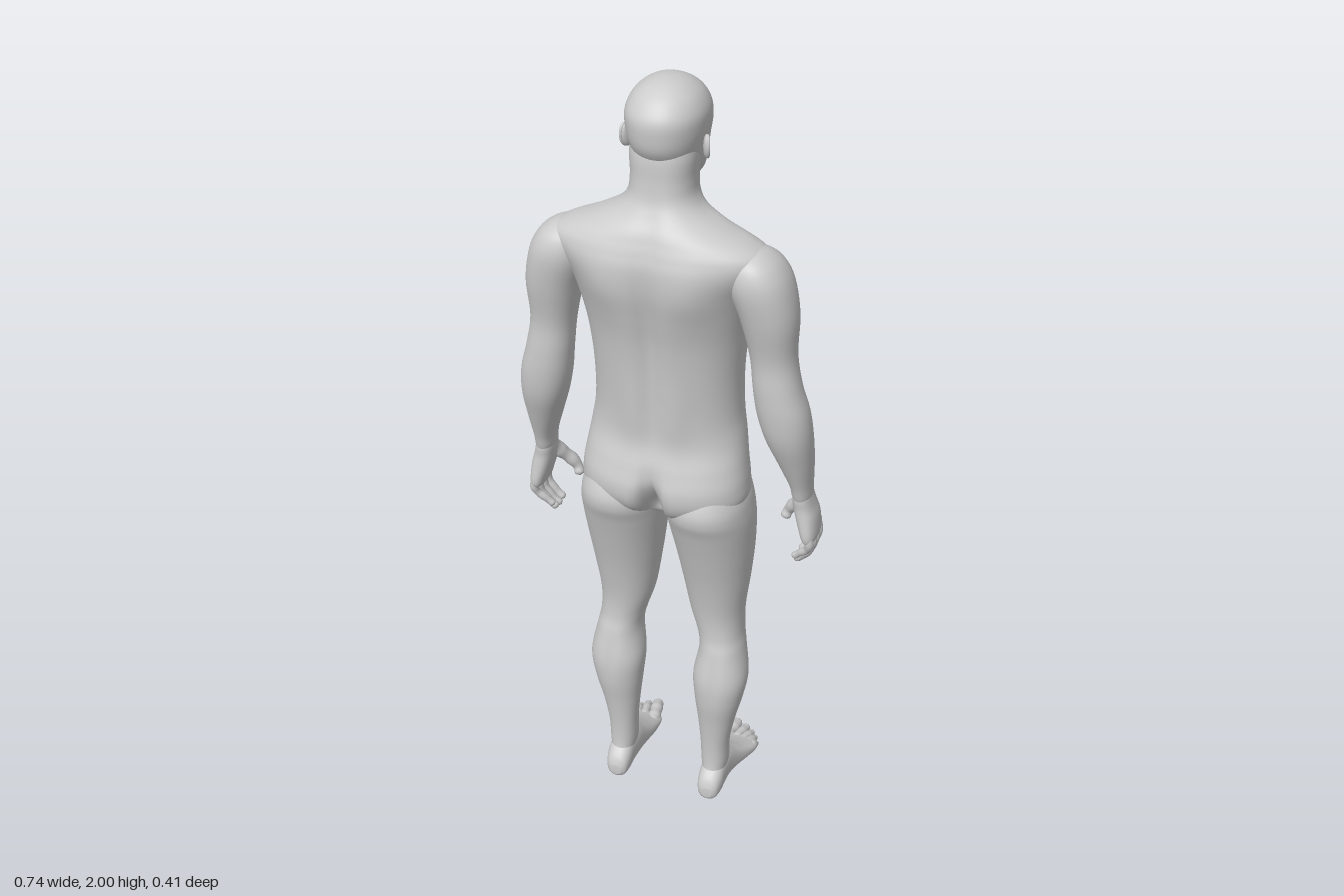
import * as THREE from 'three';
import { mergeVertices } from 'three/addons/utils/BufferGeometryUtils.js';

const material = new THREE.MeshStandardMaterial({ color: 0xcccccc, roughness: 0.8 });

// Catmull-Rom blend of a table of rows at t in 0..1
function sample(rows, t) {
  const f = t * (rows.length - 1), i = Math.min(Math.floor(f), rows.length - 2), u = f - i;
  const row = k => rows[Math.max(0, Math.min(rows.length - 1, k))];
  return rows[0].map((_, c) => {
    const [a, b, d, e] = [row(i - 1)[c], row(i)[c], row(i + 1)[c], row(i + 2)[c]];
    return b + 0.5 * u * (d - a + u * (2 * a - 5 * b + 4 * d - e + u * (3 * (b - d) + e - a)));
  });
}

// Skin through sections [height, xMin, xMax, depthMin, depthMax].
// alongZ lays the sections along z; bumps are [x, y, z, sizeX, sizeY, pushZ].
function loft(rows, { n = 40, steps = 60, power = 2.2, alongZ = false, bumps = [] } = {}) {
  const pos = [], idx = [];
  const round = v => Math.sign(v) * Math.abs(v) ** (2 / power);
  const put = (h, x, d) => {
    const [y, z] = alongZ ? [d, h] : [h, d];
    let push = 0;
    for (const [bx, by, bz, sx, sy, dz] of bumps) {
      push += dz * Math.exp(-(((Math.abs(x) - bx) / sx) ** 2) - ((y - by) / sy) ** 2 - ((z - bz) / 0.06) ** 2);
    }
    pos.push(x, y, z + push);
  };
  for (let i = 0; i <= steps; i++) {
    const [h, x0, x1, d0, d1] = sample(rows, i / steps);
    for (let j = 0; j < n; j++) {
      const a = (j / n) * Math.PI * 2;
      put(h, (x0 + x1) / 2 + (x1 - x0) / 2 * round(Math.cos(a)), (d0 + d1) / 2 + (d1 - d0) / 2 * round(Math.sin(a)));
      const k = (j + 1) % n, p = i * n;
      if (i < steps) idx.push(p + j, p + n + j, p + k, p + k, p + n + j, p + n + k);
    }
  }
  for (const [row, base, flip] of [[rows[0], 0, false], [rows.at(-1), steps * n, true]]) {
    const c = pos.length / 3;
    put(row[0], (row[1] + row[2]) / 2, (row[3] + row[4]) / 2);
    for (let j = 0; j < n; j++) {
      const a = base + j, b = base + (j + 1) % n;
      idx.push(c, ...(flip ? [b, a] : [a, b]));
    }
  }
  const g = new THREE.BufferGeometry();
  g.setAttribute('position', new THREE.Float32BufferAttribute(pos, 3));
  g.setIndex(idx);
  return orient(g);
}

// Turn all faces of a closed surface outward, using the sign of its volume
function orient(g) {
  const p = g.attributes.position, ix = g.index.array;
  const v = [0, 1, 2].map(() => new THREE.Vector3());
  const centre = new THREE.Vector3().fromBufferAttribute(p, 0);
  let volume = 0;
  for (let i = 0; i < ix.length; i += 3) {
    v.forEach((q, k) => q.fromBufferAttribute(p, ix[i + k]).sub(centre));
    volume += v[0].dot(v[1].clone().cross(v[2]));
  }
  if (volume < 0) for (let i = 0; i < ix.length; i += 3) [ix[i], ix[i + 1]] = [ix[i + 1], ix[i]];
  g.computeVertexNormals();
  return g;
}

// Finger or toe along a path, rounded shut at both ends
function digit(points, r, tip = 0.75) {
  const curve = new THREE.CatmullRomCurve3(points.map(p => new THREE.Vector3(...p)));
  const seg = 28, rad = 12, g = new THREE.TubeGeometry(curve, seg, r, rad);
  const p = g.attributes.position, v = new THREE.Vector3(), len = curve.getLength();
  for (let i = 0; i <= seg; i++) {
    const t = i / seg, c = curve.getPointAt(t);
    const e = Math.max(0, 1 - Math.min(t, 1 - t) * len / (r * tip));
    const s = (1 + (tip - 1) * t + 0.05 * Math.cos(t * 19)) * Math.sqrt(1 - e * e);
    for (let j = 0; j <= rad; j++) {
      const k = i * (rad + 1) + j;
      v.fromBufferAttribute(p, k).sub(c).multiplyScalar(s).add(c);
      p.setXYZ(k, v.x, v.y, v.z);
    }
  }
  g.deleteAttribute('uv');
  g.deleteAttribute('normal');
  return orient(mergeVertices(g, 1e-5));
}

const centred = rows => rows.map(([y, w, f, b]) => [y, -w, w, f, b]);

export function createModel() {
  const model = new THREE.Group();
  model.name = 'figure';
  const add = (name, g) => {
    const m = new THREE.Mesh(g, material);
    m.name = name;
    model.add(m);
  };
  // The figure faces -z, so its own right is +x
  const pair = (name, g) => {
    add('right' + name, g);
    add('left' + name, orient(g.clone().scale(-1, 1, 1)));
  };

  // Torso with buttocks, shoulders and neck
  add('torso', loft(centred([
    [0.885, 0.03, -0.045, 0.04], [0.91, 0.1, -0.066, 0.1], [0.94, 0.178, -0.08, 0.15], [0.975, 0.203, -0.087, 0.174],
    [1.02, 0.203, -0.087, 0.179], [1.07, 0.196, -0.086, 0.165], [1.13, 0.187, -0.091, 0.145], [1.2, 0.177, -0.1, 0.145],
    [1.3, 0.176, -0.104, 0.155], [1.4, 0.185, -0.112, 0.168], [1.48, 0.198, -0.104, 0.183], [1.55, 0.216, -0.08, 0.195],
    [1.61, 0.245, -0.043, 0.198], [1.645, 0.247, -0.016, 0.191], [1.67, 0.212, 0, 0.182], [1.692, 0.158, 0.002, 0.172],
    [1.72, 0.102, -0.004, 0.153], [1.75, 0.078, -0.014, 0.138], [1.79, 0.073, -0.022, 0.131], [1.84, 0.075, -0.02, 0.128],
    [1.88, 0.07, -0.01, 0.12]]), {
    n: 88, steps: 140, power: 2.3, bumps: [
      [0.085, 1.46, -0.1, 0.075, 0.075, -0.012], [0, 1.47, -0.11, 0.015, 0.09, 0.008],     // chest
      [0.05, 1.28, -0.1, 0.03, 0.1, -0.005], [0, 1.14, -0.095, 0.012, 0.012, 0.006],       // belly
      [0, 0.93, -0.07, 0.04, 0.05, -0.02],                                                  // groin
      [0, 0.95, 0.17, 0.022, 0.08, -0.07],                                                  // cleft
      [0, 1.42, 0.17, 0.025, 0.25, -0.018], [0.1, 1.56, 0.19, 0.06, 0.08, 0.01],           // spine, shoulder blades
      [0.05, 1.2, 0.15, 0.03, 0.1, 0.006]]
  }));

  // Head with modelled face
  add('head', loft(centred([
    [1.738, 0.018, -0.08, -0.035], [1.745, 0.036, -0.092, -0.01], [1.765, 0.054, -0.097, 0.025], [1.79, 0.065, -0.096, 0.065],
    [1.82, 0.074, -0.094, 0.105], [1.86, 0.082, -0.092, 0.135], [1.9, 0.089, -0.091, 0.144], [1.935, 0.088, -0.08, 0.142],
    [1.965, 0.074, -0.058, 0.122], [1.985, 0.052, -0.03, 0.096], [1.996, 0.028, -0.002, 0.068], [2.0, 0.005, 0.025, 0.04]]), {
    n: 112, steps: 110, power: 2.15, bumps: [
      [0.033, 1.872, -0.085, 0.018, 0.013, 0.014], [0.03, 1.892, -0.09, 0.025, 0.009, -0.006],  // eye sockets, brows
      [0, 1.855, -0.09, 0.009, 0.025, -0.012], [0, 1.834, -0.09, 0.013, 0.011, -0.018],          // nose
      [0, 1.797, -0.095, 0.022, 0.005, -0.006], [0, 1.783, -0.095, 0.02, 0.005, -0.006],         // lips
      [0, 1.772, -0.095, 0.025, 0.006, 0.004], [0, 1.754, -0.095, 0.02, 0.01, -0.005],           // chin
      [0.05, 1.83, -0.07, 0.015, 0.022, 0.006]]
  }));
  const eye = new THREE.SphereGeometry(0.012, 20, 14);
  eye.scale(1.25, 0.7, 1).translate(0.033, 1.871, -0.066);
  pair('Eye', eye);
  const ear = new THREE.SphereGeometry(1, 20, 16);
  ear.scale(0.007, 0.028, 0.017).rotateX(0.15).rotateY(0.4).translate(0.09, 1.857, 0.044);
  pair('Ear', ear);
  const rim = new THREE.TorusGeometry(0.016, 0.0035, 10, 28);
  rim.rotateY(Math.PI / 2).scale(1, 1.45, 0.9).rotateX(0.15).rotateY(0.4).translate(0.094, 1.858, 0.046);
  pair('EarRim', rim);

  // Arms
  pair('Arm', loft([
    [1.662, 0.195, 0.225, 0.075, 0.11], [1.65, 0.175, 0.255, 0.045, 0.14], [1.625, 0.16, 0.283, 0.018, 0.16],
    [1.58, 0.16, 0.305, 0.004, 0.167], [1.5, 0.188, 0.319, 0.01, 0.155], [1.4, 0.211, 0.317, 0.018, 0.134],
    [1.32, 0.22, 0.331, 0.02, 0.133], [1.25, 0.229, 0.35, 0.01, 0.13], [1.18, 0.246, 0.357, -0.003, 0.118],
    [1.1, 0.274, 0.356, -0.02, 0.088], [1.03, 0.298, 0.352, -0.029, 0.06], [0.99, 0.305, 0.351, -0.031, 0.048],
    [0.96, 0.318, 0.345, -0.022, 0.034]]));

  // Hands
  pair('Palm', loft([
    [1.025, 0.312, 0.345, -0.018, 0.04], [0.99, 0.306, 0.351, -0.031, 0.047], [0.96, 0.308, 0.358, -0.039, 0.045],
    [0.93, 0.314, 0.366, -0.047, 0.047], [0.89, 0.326, 0.37, -0.049, 0.05], [0.87, 0.333, 0.368, -0.046, 0.047],
    [0.86, 0.343, 0.36, -0.036, 0.038]], { steps: 36, power: 2.4 }));
  [[-0.038, 0.005], [-0.013, 0], [0.013, 0.006], [0.037, 0.028]].forEach(([z, up], i) => {
    pair('Finger' + (i + 1), digit([[0.35, 0.9, z], [0.356, 0.86, z - 0.002], [0.35, 0.825 + up * 0.6, z * 0.95 - 0.006],
      [0.332, 0.795 + up, z * 0.9 - 0.012], [0.312, 0.775 + up, z * 0.85 - 0.016]], i === 3 ? 0.0115 : 0.0135));
  });
  pair('Thumb', digit([[0.332, 0.975, -0.008], [0.315, 0.938, -0.034], [0.292, 0.908, -0.051],
    [0.277, 0.884, -0.057], [0.268, 0.86, -0.05]], 0.022, 0.55));

  // Legs, starting inside the hips
  pair('Leg', loft([
    [1.08, 0.07, 0.14, 0, 0.09], [1.03, 0.04, 0.178, -0.058, 0.14], [0.98, 0.014, 0.201, -0.081, 0.166],
    [0.94, 0.006, 0.21, -0.089, 0.168], [0.89, 0.008, 0.214, -0.091, 0.15], [0.8, 0.02, 0.21, -0.095, 0.122],
    [0.7, 0.035, 0.2, -0.087, 0.095], [0.6, 0.052, 0.188, -0.075, 0.076], [0.53, 0.073, 0.188, -0.066, 0.074],
    [0.48, 0.081, 0.196, -0.057, 0.085], [0.4, 0.07, 0.209, -0.041, 0.1], [0.33, 0.075, 0.199, -0.03, 0.098],
    [0.25, 0.084, 0.18, -0.018, 0.085], [0.17, 0.091, 0.166, -0.01, 0.076], [0.1, 0.094, 0.163, -0.018, 0.075],
    [0.05, 0.102, 0.155, -0.026, 0.084]], {
    n: 48, steps: 110, bumps: [
      [0.13, 0.53, -0.06, 0.03, 0.04, -0.005],                                           // kneecap
      [0.1, 0.64, -0.07, 0.03, 0.06, -0.004], [0.17, 0.66, -0.06, 0.03, 0.07, -0.004],  // thigh
      [0.14, 0.41, 0.09, 0.012, 0.07, -0.004]]                                           // calf split
  }));

  // Feet
  pair('Foot', loft([
    [0.104, 0.115, 0.142, 0.015, 0.045], [0.094, 0.102, 0.155, 0.003, 0.068], [0.07, 0.096, 0.162, 0, 0.092],
    [0.04, 0.095, 0.163, 0, 0.108], [0, 0.092, 0.166, 0, 0.112], [-0.04, 0.088, 0.175, 0, 0.086],
    [-0.08, 0.083, 0.188, 0, 0.06], [-0.115, 0.083, 0.197, 0, 0.042], [-0.14, 0.086, 0.194, 0.002, 0.032],
    [-0.152, 0.096, 0.18, 0.008, 0.024]], { steps: 48, power: 2.4, alongZ: true }));
  [[0.103, 0.116, -0.206, 0.0175], [0.131, 0.144, -0.2, 0.0125], [0.151, 0.163, -0.186, 0.0115],
    [0.169, 0.177, -0.17, 0.0105], [0.184, 0.187, -0.15, 0.01]].forEach(([x0, x1, z, r], i) => {
    pair('Toe' + (i + 1), digit([[x0, 0.024, -0.105], [(x0 + x1) / 2, 0.023, (z - 0.105) / 2],
      [x1, r * 1.1, z + r], [x1, r * 0.95, z]], r, 0.92));
  });
  return model;
}
